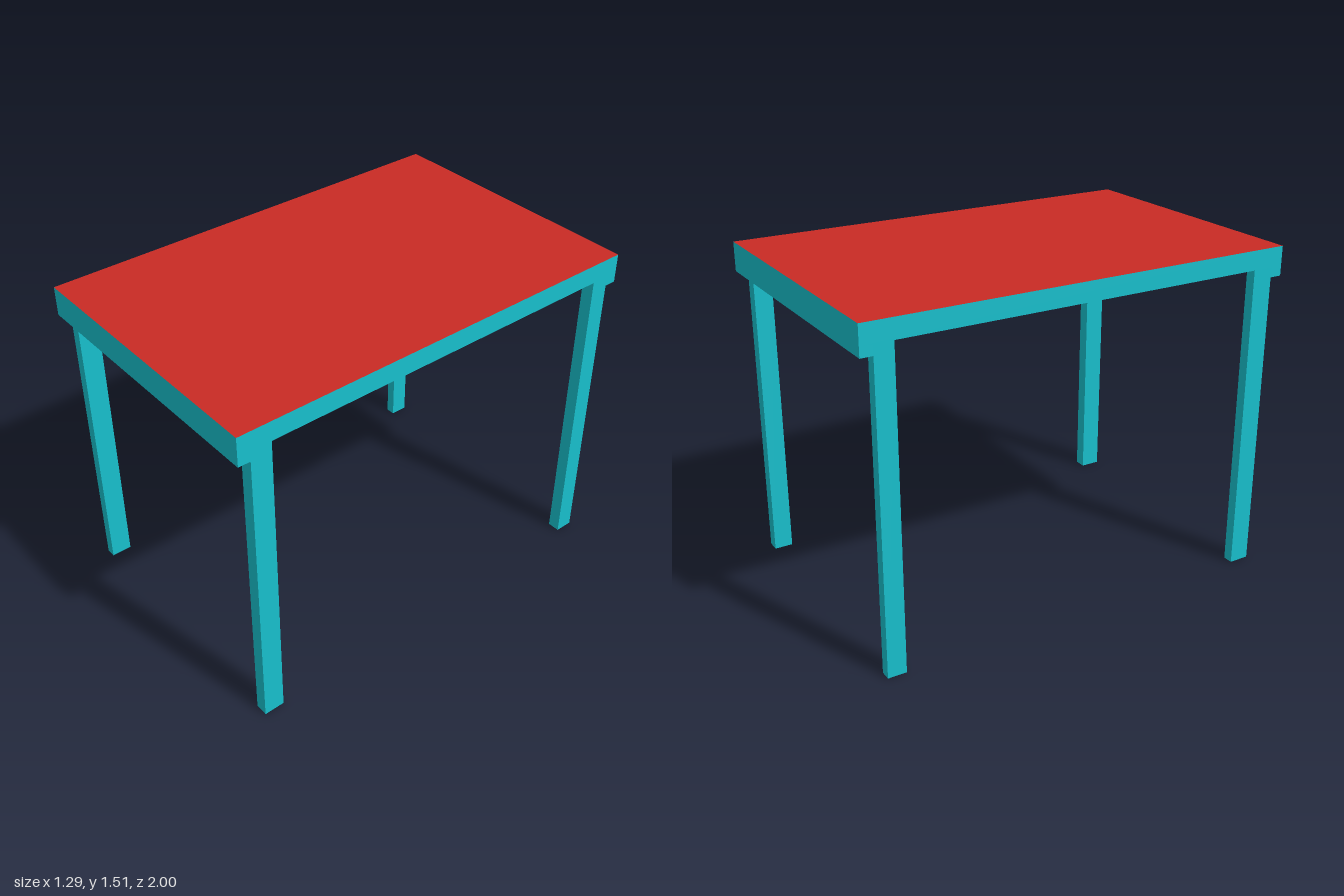
import * as THREE from 'three';

export function createModel() {
  const model = new THREE.Group();
  const teal = new THREE.MeshStandardMaterial({ color: 0x18bfcc });
  const red = new THREE.MeshStandardMaterial({ color: 0xc92a24 });

  // Box given by its extents along each axis
  const addBox = (name, [x0, x1], [y0, y1], [z0, z1], material = teal) => {
    const mesh = new THREE.Mesh(new THREE.BoxGeometry(x1 - x0, y1 - y0, z1 - z0), material);
    mesh.position.set((x0 + x1) / 2, (y0 + y1) / 2, (z0 + z1) / 2);
    mesh.name = name;
    model.add(mesh);
  };

  const halfWidth = 0.645, underside = 1.425;

  // Table top: red upper face, teal edges and underside
  addBox('tableTop', [-halfWidth, halfWidth], [underside, 1.513], [-1, 1],
    [teal, teal, red, teal, teal, teal]);

  // End rails hanging below the top, outside the legs
  addBox('frontRail', [-halfWidth, halfWidth], [1.38, underside], [0.945, 1]);
  addBox('backRail', [-halfWidth, halfWidth], [1.38, underside], [-1, -0.945]);

  // Four square legs, flush with the long sides
  const ends = { front: [0.85, 0.945], back: [-0.945, -0.86] };
  const sides = { Left: [0.587, halfWidth], Right: [-halfWidth, -0.598] };
  for (const [end, z] of Object.entries(ends)) {
    for (const [side, x] of Object.entries(sides)) {
      addBox(`${end}${side}Leg`, x, [0, underside], z);
    }
  }
  return model;
}
